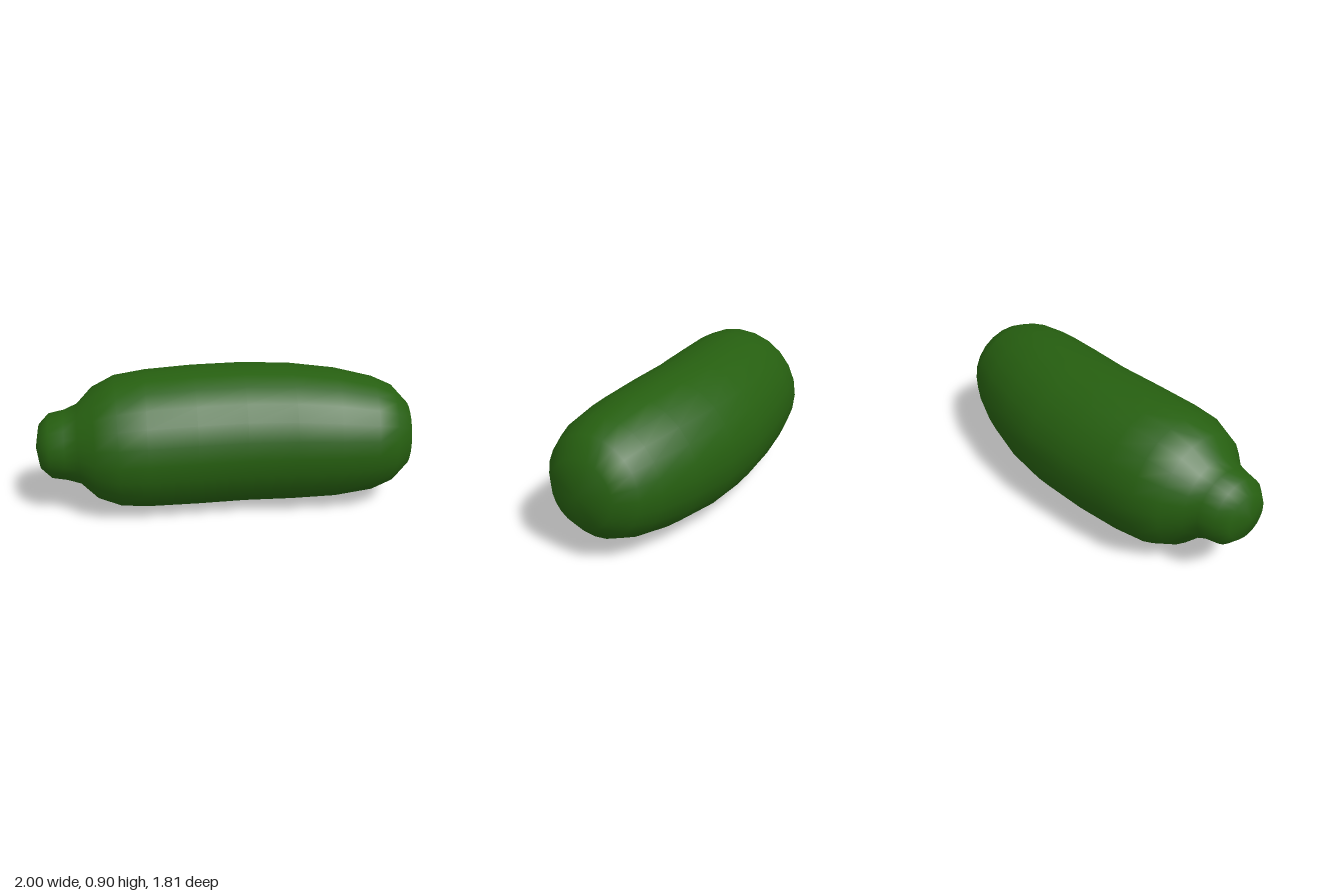
import * as THREE from 'three';

const SIDES = 24;
const MID_Y = 0.453;

// Cross-sections from stem to blossom end: opposite rim points [x, z, x, z] at mid height
const SECTIONS = [
  [-1.0, 0.69, -0.81, 0.9],
  [-1.0, 0.6, -0.72, 0.9],
  [-0.94, 0.52, -0.64, 0.85],
  [-0.91, 0.44, -0.56, 0.81],
  [-0.91, 0.3, -0.42, 0.81],
  [-0.86, 0.15, -0.28, 0.75],
  [-0.73, -0.02, -0.15, 0.64],
  [-0.53, -0.24, 0.07, 0.43],
  [-0.3, -0.46, 0.29, 0.22],
  [-0.05, -0.64, 0.53, 0.03],
  [0.23, -0.79, 0.74, -0.13],
  [0.47, -0.88, 0.91, -0.29],
  [0.61, -0.91, 0.98, -0.41],
  [0.75, -0.88, 1.0, -0.55],
];
const STEM_TIP = [-0.92, 0.82];
const BLOSSOM_TIP = [0.91, -0.74];

// Loft round rings along the bent axis and close both ends at a point
function loft() {
  const positions = [];
  const index = [];
  for (const [x1, z1, x2, z2] of SECTIONS) {
    const cx = (x1 + x2) / 2, cz = (z1 + z2) / 2;
    const ux = x1 - cx, uz = z1 - cz;
    const r = Math.hypot(ux, uz);
    for (let j = 0; j < SIDES; j++) {
      const a = (j / SIDES) * Math.PI * 2;
      positions.push(cx + ux * Math.cos(a), MID_Y + r * Math.sin(a), cz + uz * Math.cos(a));
    }
  }
  const last = (SECTIONS.length - 1) * SIDES;
  const stemPole = last + SIDES, blossomPole = stemPole + 1;
  for (const [x, z] of [STEM_TIP, BLOSSOM_TIP]) positions.push(x, MID_Y, z);

  for (let j = 0; j < SIDES; j++) {
    const k = (j + 1) % SIDES;
    for (let row = 0; row < last; row += SIDES) {
      const a = row + j, b = row + k, c = a + SIDES, d = b + SIDES;
      index.push(a, b, c, b, d, c);
    }
    index.push(stemPole, k, j, blossomPole, last + j, last + k);
  }
  const geometry = new THREE.BufferGeometry();
  geometry.setAttribute('position', new THREE.Float32BufferAttribute(positions, 3));
  geometry.setIndex(index);
  geometry.computeVertexNormals();
  return geometry;
}

export function createModel() {
  const group = new THREE.Group();
  group.name = 'cucumber';

  const skinGreen = new THREE.MeshStandardMaterial({ color: 0x265f10 });
  skinGreen.name = 'skinGreen';

  // Curved body running smoothly into the stem stub
  const body = new THREE.Mesh(loft(), skinGreen);
  body.name = 'bodyWithStem';
  group.add(body);
  return group;
}
